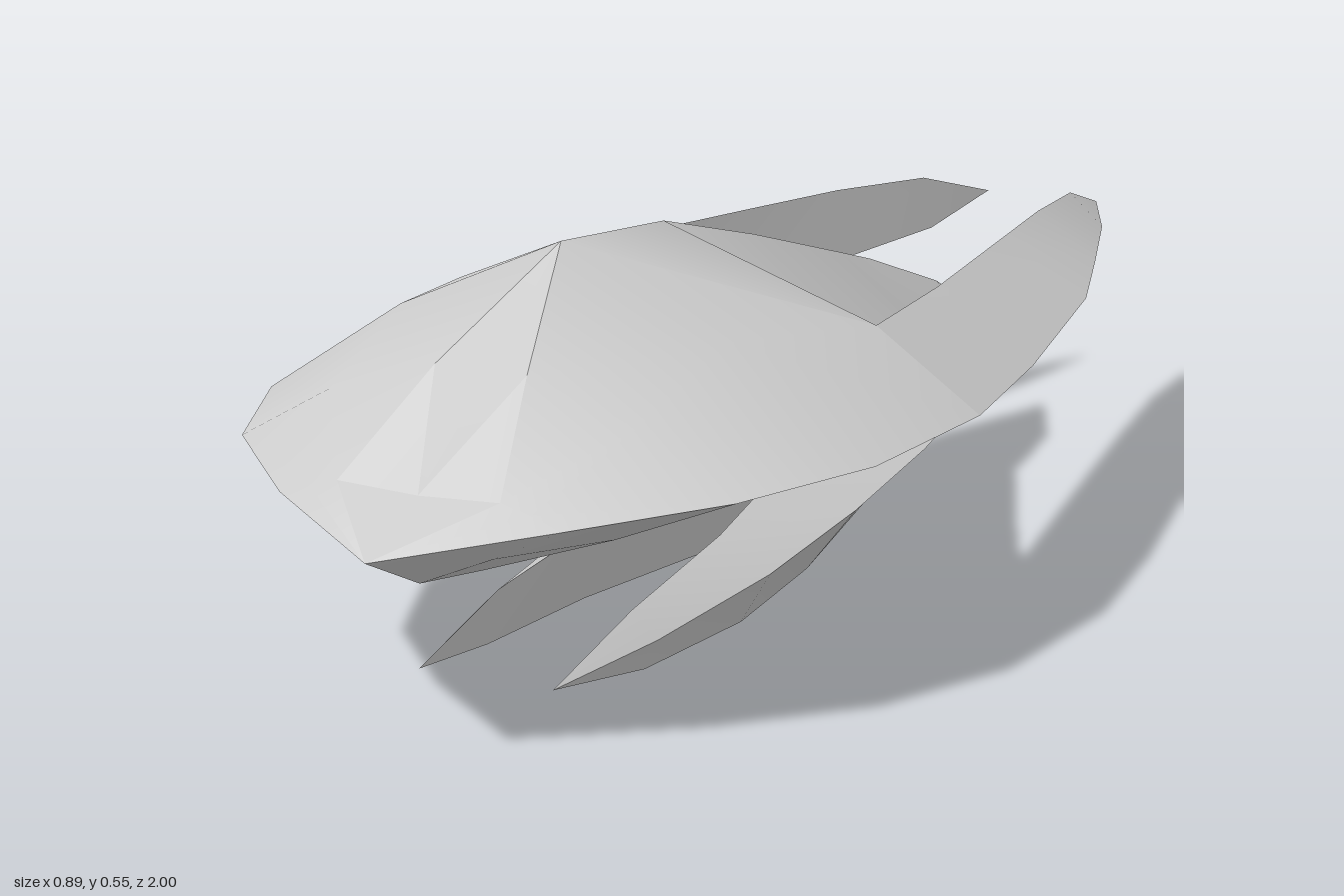
import * as THREE from 'three';
import { mergeGeometries, toCreasedNormals } from 'three/addons/utils/BufferGeometryUtils.js';

// One cross-section at depth z, as [x, y] pairs running clockwise seen from the front's left half
const row = (z, ...pts) => pts.map(([x, y]) => new THREE.Vector3(x, y, z));

// Skins consecutive cross-sections (front to back); side = -1 gives the mirrored half
function skin(rows, side) {
  const pos = [];
  const tri = (a, b, c) => {
    if (new THREE.Triangle(a, b, c).getArea() < 1e-7) return;
    for (const p of side > 0 ? [a, b, c] : [a, c, b]) pos.push(p.x * side, p.y, p.z);
  };
  for (let i = 0; i < rows.length - 1; i++) {
    for (let j = 0; j < rows[i].length - 1; j++) {
      const a = rows[i][j], b = rows[i][j + 1], c = rows[i + 1][j + 1], d = rows[i + 1][j];
      tri(a, b, c);
      tri(a, c, d);
    }
  }
  const g = new THREE.BufferGeometry();
  g.setAttribute('position', new THREE.Float32BufferAttribute(pos, 3));
  return g;
}

export function createModel() {
  const group = new THREE.Group();
  const material = new THREE.MeshStandardMaterial({ color: 0xcccccc, side: THREE.DoubleSide });
  const add = (name, strips, sides, crease = 0.55) => {
    const parts = sides.flatMap((s) => strips.map((rows) => skin(rows, s)));
    const mesh = new THREE.Mesh(toCreasedNormals(mergeGeometries(parts), crease), material);
    mesh.name = name;
    group.add(mesh);
  };

  // Front shell: ridge, shoulder, rim, underside, keel
  const tip = [0, 0.27];
  const frontShell = [
    row(1, tip, tip, tip, tip, tip),
    row(0.88, [0.11, 0.325], [0.15, 0.315], [0.19, 0.3], [0.1, 0.256], [0, 0.213]),
    row(0.73, [0.063, 0.437], [0.21, 0.39], [0.34, 0.315], [0.18, 0.25], [0, 0.188]),
    row(0.53, [0, 0.553], [0.23, 0.45], [0.425, 0.32], [0.28, 0.272], [0, 0.181]),
    row(0.26, [0, 0.525], [0.3, 0.42], [0.443, 0.32], [0.3, 0.278], [0, 0.178]),
  ];

  // Centre body between the slits: ridge, upper edge, lower edge, keel
  const centre = [
    row(0.26, [0, 0.525], [0.3, 0.42], [0.3, 0.278], [0, 0.178]),
    row(0, [0, 0.455], [0.237, 0.27], [0.237, 0.27], [0, 0.173]),
    row(-0.27, [0, 0.375], [0.133, 0.25], [0.133, 0.25], [0, 0.166]),
    row(-0.37, [0, 0.345], [0.09, 0.245], [0.09, 0.245], [0, 0.166]),
  ];
  // The underside closes onto the end of the keel
  const keelEnd = centre[2][3];
  centre[3][3] = keelEnd;

  // Tail: ridge, edge, foot of the side wall
  const tail = [
    row(-0.37, [0, 0.345], [0.09, 0.245], [0.09, 0.155]),
    row(-0.6, [0, 0.265], [0.063, 0.215], [0.05, 0.155]),
    row(-0.81, [0, 0.16], [0, 0.16], [0, 0.16]),
  ];
  const neck = [[keelEnd, keelEnd], [tail[0][1], tail[0][2]]];
  add('hull', [frontShell, centre, tail, neck], [1, -1]);

  // Shallow recessed canopy in the nose
  add('canopy', [[
    row(1, tip, tip),
    row(0.88, [0, 0.32], [0.11, 0.325]),
    row(0.73, [0, 0.415], [0.063, 0.437]),
    row(0.53, [0, 0.553], [0, 0.553]),
  ]], [1, -1], 0.1);

  // Closed triangular sections: top, outer, bottom
  const ring = (z, top, outer, bottom) => row(z, top, outer, bottom, top);

  // Long horns trailing behind the hull rim
  const horn = [
    ring(0.26, [0.3, 0.42], [0.443, 0.32], [0.3, 0.278]),
    ring(0, [0.268, 0.411], [0.405, 0.32], [0.253, 0.28]),
    ring(-0.38, [0.2, 0.395], [0.325, 0.32], [0.182, 0.283]),
    ring(-0.6, [0.16, 0.385], [0.25, 0.32], [0.142, 0.286]),
    ring(-0.82, [0.12, 0.366], [0.172, 0.319], [0.106, 0.29]),
    ring(-1, [0.09, 0.315], [0.09, 0.315], [0.09, 0.315]),
  ];

  // Lower prongs, apart at the front and joined at the tail
  const prong = [
    ring(0.73, [0.093, 0.05], [0.093, 0.05], [0.093, 0.05]),
    ring(0.53, [0.095, 0.095], [0.13, 0.06], [0.112, 0.02]),
    ring(0.27, [0.085, 0.12], [0.157, 0.077], [0.115, 0.007]),
    ring(0, [0.045, 0.14], [0.153, 0.092], [0.08, 0]),
    ring(-0.27, [0, 0.165], [0.132, 0.107], [0.045, 0.024]),
    ring(-0.37, [0, 0.165], [0.12, 0.115], [0.03, 0.036]),
    ring(-0.6, [0, 0.164], [0.07, 0.137], [0, 0.08]),
    ring(-0.81, [0, 0.16], [0, 0.16], [0, 0.16]),
  ];

  for (const [side, label] of [[1, 'left'], [-1, 'right']]) {
    add(label + 'Horn', [horn], [side]);
    add(label + 'Prong', [prong], [side]);
  }
  return group;
}
